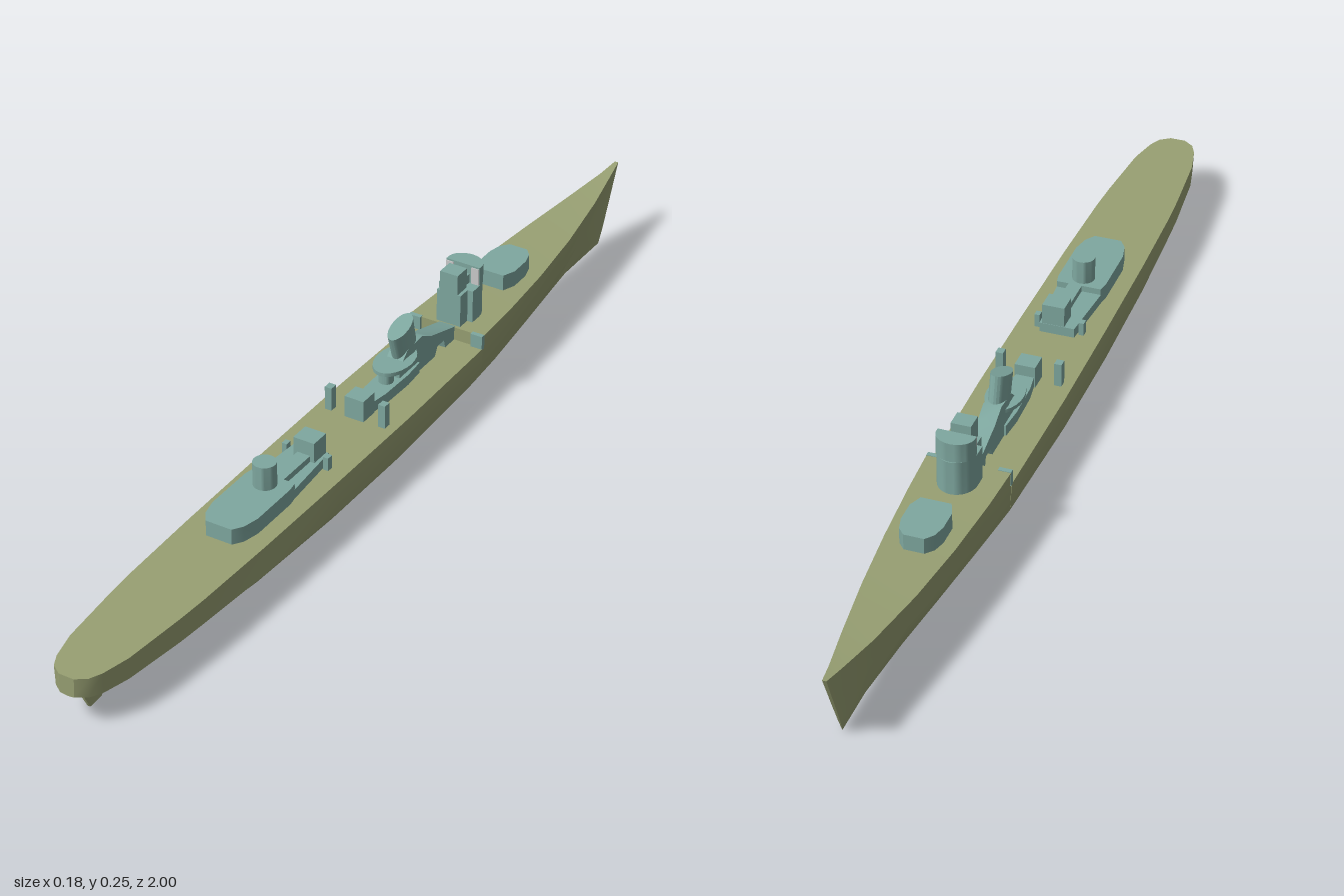
import * as THREE from 'three';
import { toCreasedNormals } from 'three/addons/utils/BufferGeometryUtils.js';

const hullMat = new THREE.MeshStandardMaterial({ color: 0x98a073 });
const houseMat = new THREE.MeshStandardMaterial({ color: 0x7fa8a0 });
const greyMat = new THREE.MeshStandardMaterial({ color: 0xcccccc, side: THREE.DoubleSide });

function mesh(name, geo, mat = houseMat) {
  const m = new THREE.Mesh(toCreasedNormals(geo, 0.6), mat);
  m.name = name;
  return m;
}

function box(name, x, z, w, d, y0, y1, mat) {
  return mesh(name, new THREE.BoxGeometry(w, y1 - y0, d).translate(x, (y0 + y1) / 2, z), mat);
}

function drum(name, z, r, y0, y1, sz = 1) {
  return mesh(name, new THREE.CylinderGeometry(r, r, y1 - y0, 24).scale(1, 1, sz).translate(0, (y0 + y1) / 2, z));
}

// Upright prism from a half outline of [x, z] points, mirrored across x = 0
function prism(name, half, y0, y1) {
  const all = [...half, ...half.map(([x, z]) => [-x, z]).reverse()];
  const shape = new THREE.Shape(all.map(([x, z]) => new THREE.Vector2(x, -z)));
  const geo = new THREE.ExtrudeGeometry(shape, { depth: y1 - y0, bevelEnabled: false });
  return mesh(name, geo.rotateX(-Math.PI / 2).translate(0, y0, 0));
}

// Side profile of [z, y] points extruded across the beam
function slab(name, pts, width, mat) {
  const shape = new THREE.Shape(pts.map(([z, y]) => new THREE.Vector2(z, y)));
  const geo = new THREE.ExtrudeGeometry(shape, { depth: width, bevelEnabled: false });
  return mesh(name, geo.rotateY(-Math.PI / 2).translate(width / 2, 0, 0), mat);
}

// Half outline: rounded end at zBow, straight sides to zAft
function roundedHalf(w, zBow, zStraight, zAft, wAft = w) {
  const pts = [];
  for (let i = 0; i <= 8; i++) {
    const a = (i / 8) * Math.PI / 2;
    pts.push([Math.max(w * Math.sin(a), 0.001), zStraight + (zBow - zStraight) * Math.cos(a)]);
  }
  pts.push([wAft, zAft]);
  return pts;
}

// Hull lofted through stations: z, then half width and height of deck, side and bilge, then keel height
function hullGeometry() {
  const stations = [
    [-1, .004, .165, .003, .09, .002, .03, 0],
    [-.95, .012, .157, .007, .085, .004, .027, 0],
    [-.85, .030, .147, .016, .075, .009, .022, 0],
    [-.7, .052, .139, .034, .065, .020, .017, 0],
    [-.55, .068, .135, .053, .055, .035, .014, 0],
    [-.4, .079, .134, .071, .048, .050, .012, 0],
    [-.29, .084, .135, .080, .045, .058, .012, 0],
    [-.29, .084, .107, .080, .045, .058, .012, 0],
    [0, .088, .107, .087, .040, .070, .014, 0],
    [.25, .087, .107, .087, .040, .070, .015, 0],
    [.5, .084, .107, .083, .045, .065, .022, 0],
    [.69, .079, .107, .076, .052, .055, .034, 0],
    [.76, .075, .107, .073, .055, .052, .039, .02],
    [.9, .063, .107, .061, .061, .040, .054, .046],
    [.96, .049, .107, .047, .063, .030, .059, .057],
    [.985, .037, .107, .035, .065, .022, .063, .062],
    [1, .016, .107, .015, .067, .010, .066, .065],
  ];
  const pos = [], idx = [];
  for (const [z, wd, yd, ws, ys, wb, yb, yk] of stations) {
    const rake = 0.07 * Math.pow(Math.max(0, (-z - .6) / .4), 2);
    const ring = [[wd, yd], [ws, ys], [wb, yb], [0, yk], [-wb, yb], [-ws, ys], [-wd, yd]];
    for (const [x, y] of ring) pos.push(x, y, z + rake * (1 - y / yd));
  }
  const n = 7, last = (stations.length - 1) * n;
  for (let i = 0; i < stations.length - 1; i++) {
    for (let j = 0; j < n; j++) {
      const a = i * n + j, b = i * n + (j + 1) % n;
      idx.push(a, a + n, b + n, a, b + n, b);
    }
  }
  for (let j = 1; j < n - 1; j++) {
    idx.push(0, j, j + 1);
    idx.push(last, last + j + 1, last + j);
  }
  const geo = new THREE.BufferGeometry();
  geo.setAttribute('position', new THREE.Float32BufferAttribute(pos, 3));
  geo.setIndex(idx);
  return geo;
}

// Raked oval funnel whose top rises towards the bow
function funnelGeometry() {
  const geo = new THREE.CylinderGeometry(1, 1, 0.075, 24).scale(0.019, 1, 0.036);
  const p = geo.attributes.position;
  for (let i = 0; i < p.count; i++) {
    const top = p.getY(i) > 0, z = p.getZ(i);
    if (top) p.setXYZ(i, p.getX(i), p.getY(i) - z * 0.32, z + 0.02);
  }
  return geo.translate(0, 0.188, -0.132);
}

export function createModel() {
  const g = new THREE.Group();
  g.name = 'warship';

  // Hull and rudder
  g.add(mesh('hull', hullGeometry(), hullMat));
  g.add(slab('rudder', [[.905, .004], [.94, .002], [.955, .03], [.957, .06], [.895, .06], [.893, .03]], .006, hullMat));

  // Forward gun deckhouse
  g.add(prism('forwardDeckhouse', [[.02, -.578], [.034, -.562], [.041, -.535], [.041, -.49], [.03, -.463]], .13, .169));

  // Bridge tower with a screened, open-backed upper level and a director
  g.add(prism('bridgeTower', roundedHalf(.039, -.393, -.35, -.325), .107, .206));
  g.add(prism('bridgeAft', [[.027, -.33], [.027, -.297]], .107, .206));
  g.add(prism('upperBridge', roundedHalf(.038, -.391, -.36, -.352), .206, .246));
  g.add(box('director', 0, -.315, .04, .036, .206, .25));
  g.add(box('bridgeLink', 0, -.343, .03, .03, .206, .226));
  for (const s of [-1, 1]) {
    g.add(box('bridgeScreen', s * .029, -.35, .017, .002, .207, .243, greyMat));
    // Bulkhead wing at the forecastle break
    g.add(box('breakBulkhead', s * .071, -.29, .026, .01, .105, .136));
    // Slim ventilator posts beside the midship house
    g.add(box('ventPost', s * .06, .047, .015, .017, .105, .157));
    g.add(box('aftPost', s * .046, .226, .011, .014, .105, .135));
  }

  // Funnel with its trunk, arched over the deck
  g.add(slab('funnelTrunk', [[-.08, .105], [-.08, .15], [-.11, .178], [-.165, .182], [-.2, .163],
    [-.295, .135], [-.295, .107], [-.255, .107], [-.25, .126], [-.225, .126], [-.215, .107]], .036));
  g.add(mesh('funnel', funnelGeometry()));
  g.add(drum('funnelPlatform', -.093, .037, .154, .162, 1.55));
  g.add(drum('platformSupport', -.06, .015, .105, .155));

  // Midship house
  g.add(prism('midshipHouse', [[.022, -.15], [.026, -.1], [.024, -.02], [.018, .02]], .105, .13));
  g.add(box('midshipLocker', 0, .038, .042, .04, .105, .153));

  // Aft deckhouse
  g.add(prism('aftDeckhouse', [[.046, .34], [.05, .36], [.05, .47], [.042, .505], [.028, .525]], .105, .14));
  g.add(prism('aftLowerHouse', [[.036, .206], [.047, .345]], .105, .127));
  g.add(box('aftSpine', .008, .29, .028, .11, .12, .14));
  g.add(box('aftLocker', .008, .228, .046, .042, .105, .17));
  g.add(drum('aftControlTower', .37, .023, .135, .19));

  return g;
}
